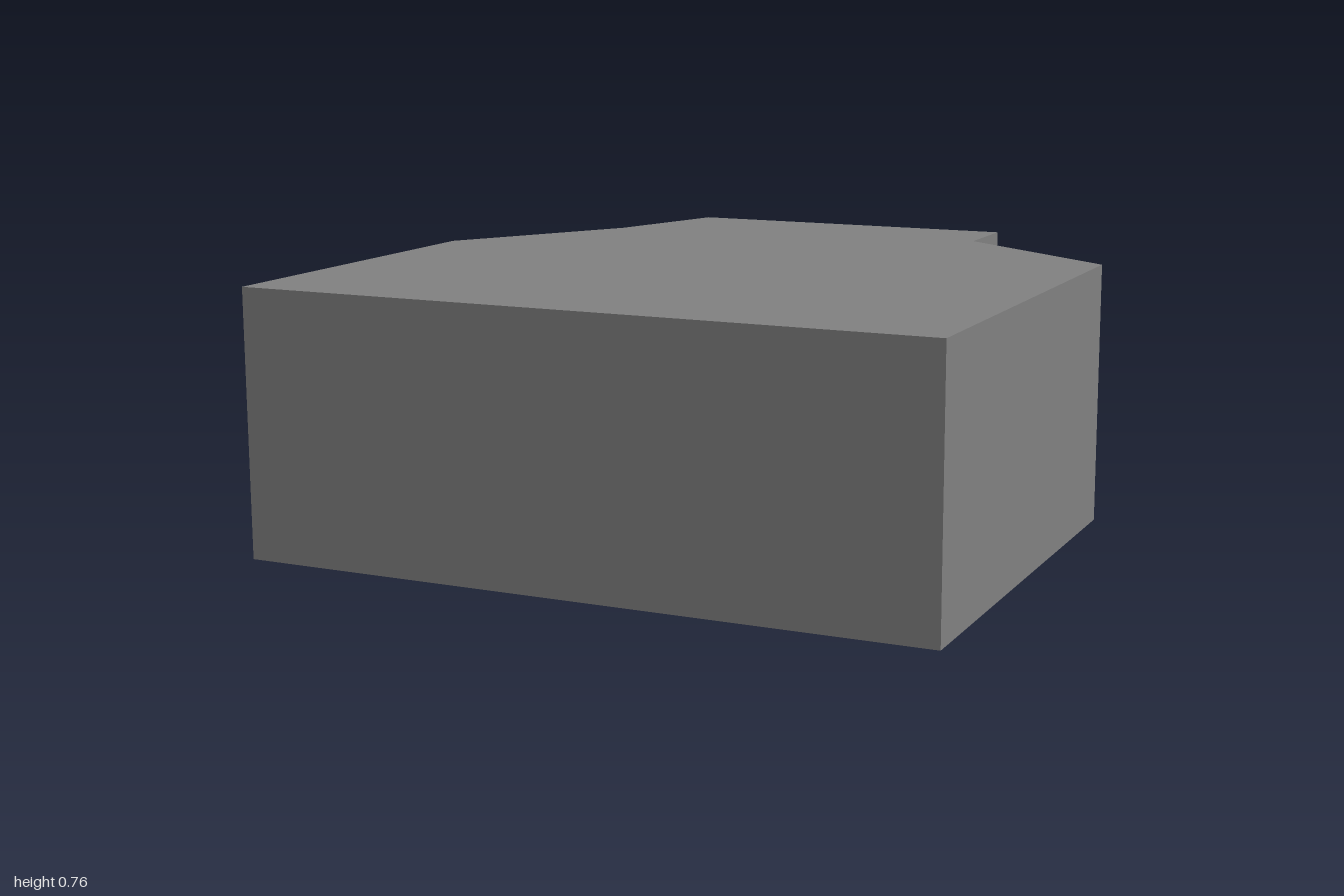
import * as THREE from 'three';

const H = 0.76, FLOOR = 0.02, CEILING = 0.57;

// Plan points are [x, z]
const outline = [[-0.54, -1], [-0.67, -0.61], [-1, -0.085], [-1, 1], [1, 1], [1, -0.385], [0.49, -0.75], [0.49, -1]];
const roomPlan = [[0.29, -1], [0.29, 0], [0.92, 0], [0.92, 0.92], [-0.92, 0.92], [-0.92, -0.1], [-0.62, -0.57], [-0.43, -0.75], [-0.43, -1]];
const partitionPlan = [[-0.03, -1], [-0.03, -0.5], [0, -0.5], [0, -1]];
const bays = [[0, 0.29], [-0.43, -0.03]];
const TRANSOM = [0.59, 0.675];

// Row of flat quads swept from a path of points along an offset
function strip(points, offset) {
  const pos = [];
  for (let i = 0; i < points.length - 1; i++) {
    const a = points[i], b = points[i + 1];
    const c = b.clone().add(offset), d = a.clone().add(offset);
    for (const p of [a, b, c, a, c, d]) pos.push(p.x, p.y, p.z);
  }
  const g = new THREE.BufferGeometry();
  g.setAttribute('position', new THREE.Float32BufferAttribute(pos, 3));
  g.computeVertexNormals();
  return g;
}

const walls = (plan, y0, y1) =>
  strip(plan.map(([x, z]) => new THREE.Vector3(x, y0, z)), new THREE.Vector3(0, y1 - y0, 0));

// Horizontal sheet facing up or down
function sheet(plan, y, up) {
  const s = up ? -1 : 1;
  const shape = new THREE.Shape(plan.map(([x, z]) => new THREE.Vector2(x, s * z)));
  return new THREE.ShapeGeometry(shape).rotateX(s * Math.PI / 2).translate(0, y, 0);
}

const rect = (x0, x1, y0, y1) =>
  [[x1, y0], [x0, y0], [x0, y1], [x1, y1], [x1, y0]].map(([x, y]) => new THREE.Vector2(x, y));

export function createModel() {
  const group = new THREE.Group();
  const grey = new THREE.MeshStandardMaterial({ color: 0x808080 });
  grey.name = 'wall grey';
  const brown = new THREE.MeshStandardMaterial({ color: 0x594b45 });
  brown.name = 'floor brown';

  const add = (name, geometry, material = grey) => {
    const mesh = new THREE.Mesh(geometry, material);
    mesh.name = name;
    group.add(mesh);
  };

  // Outer shell
  add('outerWalls', walls(outline, 0, H));
  add('roof', sheet(outline, H, true));
  add('underside', sheet(outline, 0, false));

  // Back wall with two doorways and two transoms
  const face = new THREE.Shape(rect(-0.49, 0.54, 0, H));
  for (const [x0, x1] of bays) {
    face.holes.push(new THREE.Path(rect(-x1, -x0, FLOOR, CEILING)));
    face.holes.push(new THREE.Path(rect(-x1, -x0, ...TRANSOM)));
  }
  add('backWall', new THREE.ShapeGeometry(face).rotateY(Math.PI).translate(0, 0, -1));

  // Shallow recesses above the doorways
  const depth = 0.03;
  for (const [x0, x1] of bays) {
    const loop = rect(x0, x1, ...TRANSOM).map(p => new THREE.Vector3(p.x, p.y, -1));
    add('transomReveal', strip(loop, new THREE.Vector3(0, 0, depth)));
    add('transomPanel', new THREE.PlaneGeometry(x1 - x0, TRANSOM[1] - TRANSOM[0]).rotateY(Math.PI)
      .translate((x0 + x1) / 2, (TRANSOM[0] + TRANSOM[1]) / 2, -1 + depth));
  }

  // Interior room
  add('roomWalls', walls(roomPlan, FLOOR, CEILING));
  add('partition', walls(partitionPlan, FLOOR, CEILING));
  add('roomFloor', sheet(roomPlan, FLOOR, true), brown);
  add('roomCeiling', sheet(roomPlan, CEILING, false));

  return group;
}
